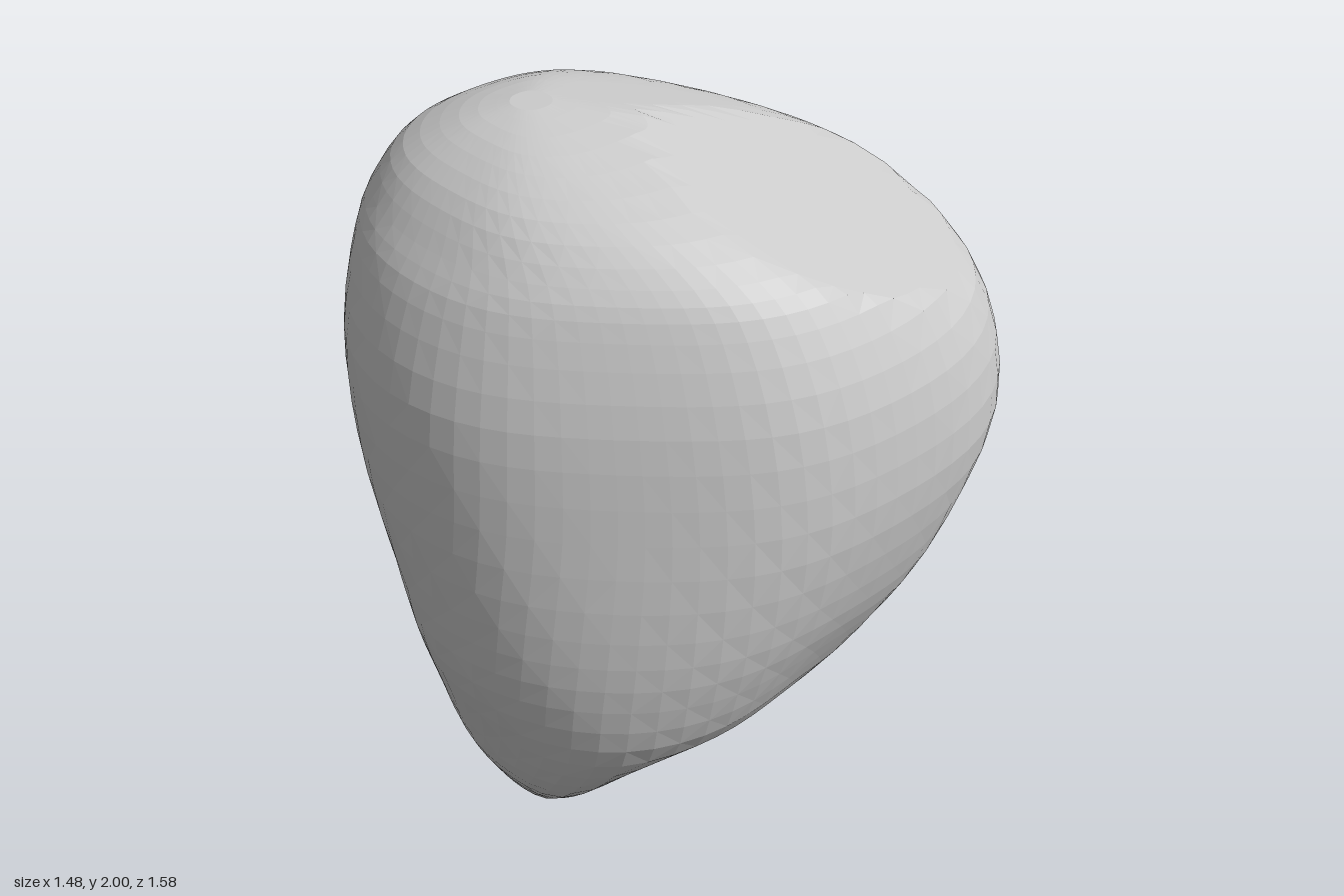
import * as THREE from 'three';

// Each row: height, then the reach of the section in eight compass directions
// (+x, +x+z, +z, -x+z, -x, -x-z, -z, +x-z), measured from the vertical axis.
const LEVELS = [
  [0.00, -0.17, 0.03, 0.22, 0.33, 0.27, 0.08, -0.12, -0.23],
  [0.04, -0.07, 0.15, 0.35, 0.42, 0.39, 0.21, -0.03, -0.12],
  [0.12, 0.03, 0.33, 0.45, 0.45, 0.45, 0.33, 0.08, 0.00],
  [0.22, 0.14, 0.47, 0.52, 0.485, 0.51, 0.45, 0.21, 0.09],
  [0.40, 0.33, 0.655, 0.63, 0.54, 0.61, 0.65, 0.50, 0.32],
  [0.60, 0.55, 0.745, 0.71, 0.60, 0.68, 0.785, 0.66, 0.51],
  [0.80, 0.645, 0.76, 0.785, 0.655, 0.715, 0.815, 0.75, 0.65],
  [1.00, 0.70, 0.745, 0.80, 0.71, 0.732, 0.80, 0.78, 0.76],
  [1.25, 0.735, 0.70, 0.80, 0.755, 0.737, 0.74, 0.79, 0.845],
  [1.50, 0.71, 0.645, 0.775, 0.77, 0.737, 0.665, 0.75, 0.80],
  [1.70, 0.62, 0.57, 0.69, 0.74, 0.70, 0.59, 0.63, 0.66],
  [1.80, 0.52, 0.51, 0.61, 0.70, 0.65, 0.53, 0.48, 0.50],
  [1.90, 0.30, 0.40, 0.51, 0.62, 0.55, 0.42, 0.22, 0.24],
  [1.97, 0.02, 0.22, 0.38, 0.48, 0.40, 0.24, -0.02, -0.02],
  [2.00, -0.18, 0.04, 0.26, 0.36, 0.28, 0.07, -0.16, -0.26],
];
const SIDES = 72, STEPS = 3, SHARPNESS = 20;

// Shallow hollows: centre, radius, depth
const DENTS = [
  [new THREE.Vector3(0.52, 0.68, 0.02), 0.24, 0.04],
  [new THREE.Vector3(0.34, 0.66, -0.4), 0.24, 0.04],
  [new THREE.Vector3(0.42, 0.5, 0.38), 0.16, 0.03],
  [new THREE.Vector3(-0.22, 0.88, 0.68), 0.28, 0.025],
];

// Smooth blend through the rows of LEVELS
function levelAt(t) {
  const last = LEVELS.length - 1;
  const i = Math.min(Math.floor(t), last - 1), f = t - i;
  const row = (k) => LEVELS[THREE.MathUtils.clamp(k, 0, last)];
  const [a, b, c, d] = [row(i - 1), row(i), row(i + 1), row(i + 2)];
  return b.map((_, k) => b[k] + 0.5 * f * (c[k] - a[k]
    + f * (2 * a[k] - 5 * b[k] + 4 * c[k] - d[k] + f * (3 * (b[k] - c[k]) + d[k] - a[k]))));
}

// Flat sloping cut across the top
const cutHeight = (x, z) => 1.945 - 0.335 * x + 0.315 * z;

// One closed section: a rounded polygon with sixteen sides
function section(level) {
  const [y, ...reach] = level;
  const cx = (reach[0] - reach[4]) / 2, cz = (reach[2] - reach[6]) / 2;
  const local = reach.map((s, i) =>
    Math.max(0.03, s - cx * Math.cos(i * Math.PI / 4) - cz * Math.sin(i * Math.PI / 4)));
  const sides = local.flatMap((h, i) => [h, 0.51 * (h + local[(i + 1) % 8])]);
  return Array.from({ length: SIDES }, (_, j) => {
    const angle = j / SIDES * Math.PI * 2;
    const sum = sides.reduce((total, h, i) =>
      total + Math.pow(Math.max(0, Math.cos(angle - i * Math.PI / 8)) / h, SHARPNESS), 0);
    const r = 1.014 * Math.pow(sum, -1 / SHARPNESS);
    const p = new THREE.Vector3(cx + r * Math.cos(angle), y, cz + r * Math.sin(angle));
    // Press in the hollows
    for (const [centre, radius, depth] of DENTS) {
      const push = depth * Math.exp(-p.distanceToSquared(centre) / (radius * radius));
      p.x -= push * Math.cos(angle);
      p.z -= push * Math.sin(angle);
    }
    p.y = Math.min(p.y, cutHeight(p.x, p.z));
    return p;
  });
}

function rockGeometry() {
  const rows = (LEVELS.length - 1) * STEPS + 1;
  const points = [], index = [];
  for (let i = 0; i < rows; i++) points.push(...section(levelAt(i / STEPS)));
  for (let i = 0; i < rows - 1; i++) {
    for (let j = 0; j < SIDES; j++) {
      const k = (j + 1) % SIDES;
      const a = i * SIDES + j, b = i * SIDES + k, c = a + SIDES, d = b + SIDES;
      // Alternate the diagonals for a chipped surface
      if ((i + j) % 2) index.push(a, c, d, a, d, b);
      else index.push(a, c, b, b, c, d);
    }
  }
  // Close the tip and the crown
  const bottom = points.push(new THREE.Vector3(-0.22, 0, 0.17)) - 1;
  const top = points.push(new THREE.Vector3(-0.23, 2, 0.21)) - 1;
  const crown = (rows - 1) * SIDES;
  for (let j = 0; j < SIDES; j++) {
    const k = (j + 1) % SIDES;
    index.push(bottom, j, k, top, crown + k, crown + j);
  }
  const geometry = new THREE.BufferGeometry().setFromPoints(points);
  geometry.setIndex(index);
  geometry.computeVertexNormals();
  return geometry;
}

export function createModel() {
  const group = new THREE.Group();
  group.name = 'boulder';
  const rock = new THREE.Mesh(rockGeometry(),
    new THREE.MeshStandardMaterial({ color: 0xcccccc, flatShading: true }));
  rock.name = 'rock';
  group.add(rock);
  return group;
}
